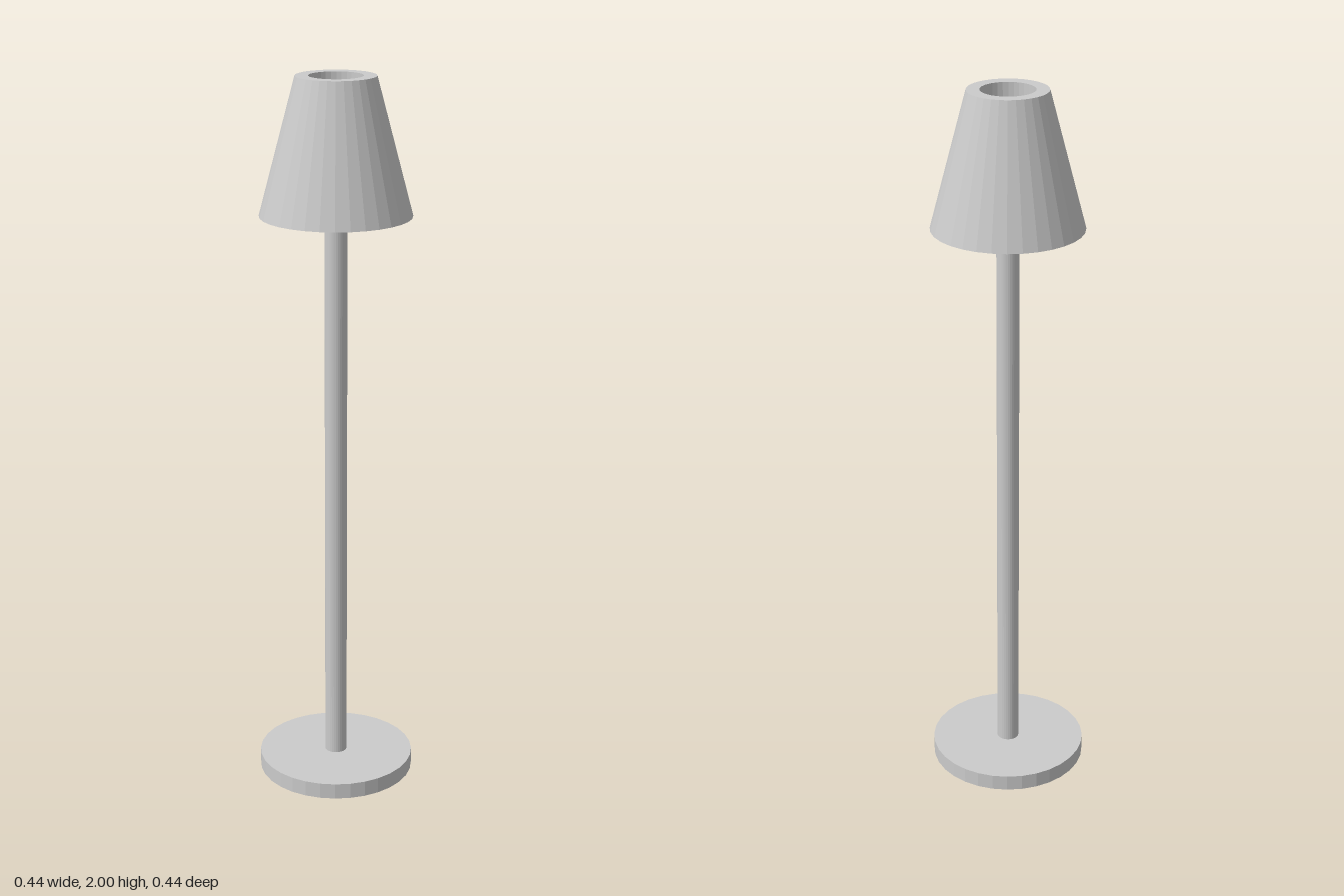
import * as THREE from 'three';

const SIDES = 32;

export function createModel() {
  const group = new THREE.Group();
  const material = new THREE.MeshStandardMaterial({
    color: 0xcccccc, flatShading: true, side: THREE.DoubleSide,
  });

  const add = (name, geometry, y = 0) => {
    const mesh = new THREE.Mesh(geometry, material);
    mesh.name = name;
    mesh.position.y = y;
    group.add(mesh);
  };

  // Flat round foot
  add('base', new THREE.CylinderGeometry(0.22, 0.22, 0.045, SIDES), 0.0225);

  // Slim pole, ending inside the shade
  const poleTop = 1.87;
  add('pole', new THREE.CylinderGeometry(0.031, 0.031, poleTop - 0.045, SIDES), (poleTop + 0.045) / 2);

  // Tapered shade: outer wall, top rim and the wall of its opening
  const shade = [[0.206, 1.63], [0.108, 2], [0.073, 2], [0.073, 1.812]];
  add('shade', new THREE.LatheGeometry(shade.map(([r, y]) => new THREE.Vector2(r, y)), SIDES));

  // Inner cone joining the shade's lower edge to the pole
  const lining = [[0.206, 1.63], [0.031, poleTop]];
  add('shadeLining', new THREE.LatheGeometry(lining.map(([r, y]) => new THREE.Vector2(r, y)), SIDES));

  return group;
}
